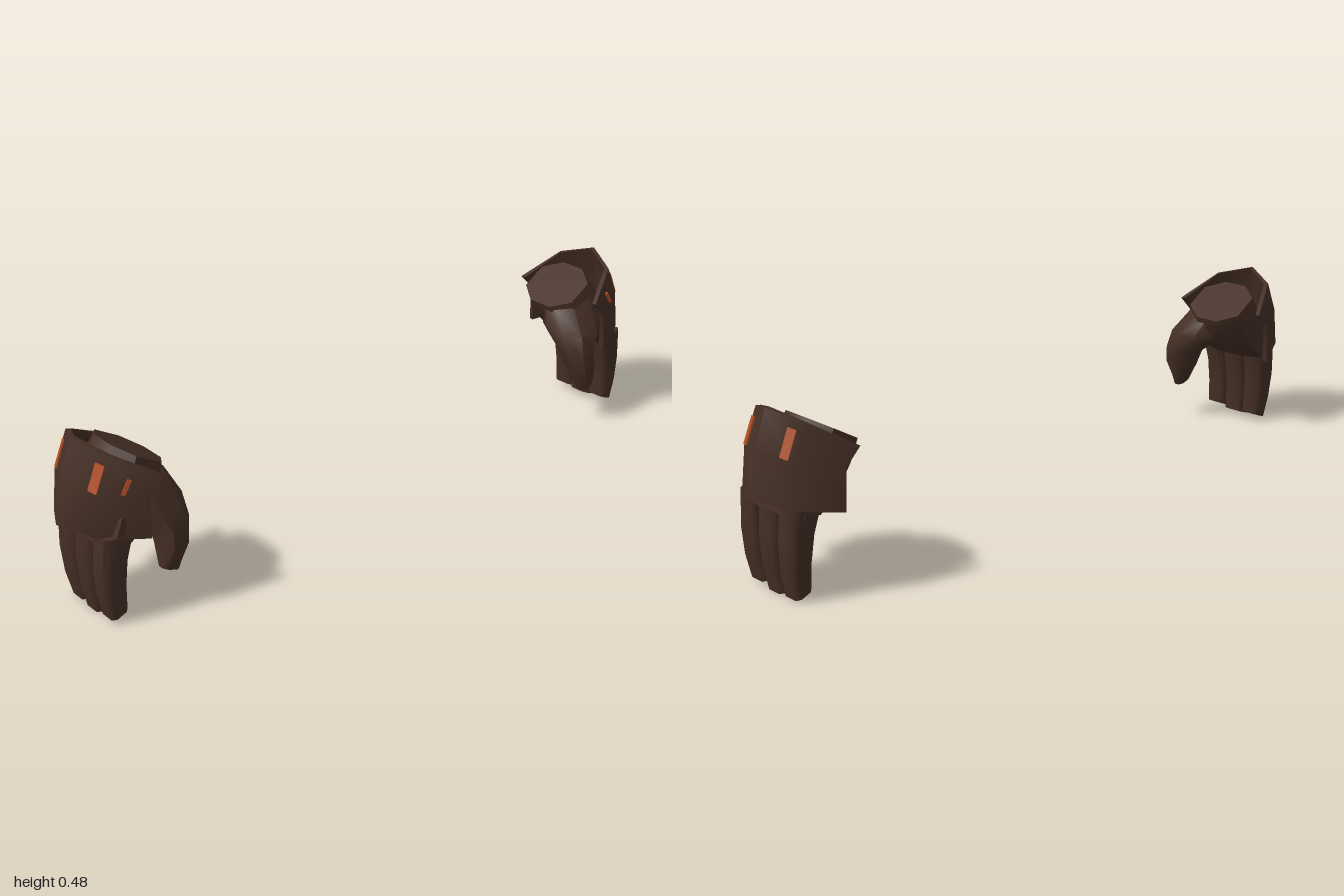
import * as THREE from 'three';
import { toCreasedNormals } from 'three/addons/utils/BufferGeometryUtils.js';

const V = (x, y, z) => new THREE.Vector3(x, y, z);

// Closed skin through equal-length rings; end caps pair point i with n-1-i.
function loft(rings, side, crease = 0.9) {
  const n = rings[0].length, last = rings.length - 1, tris = [];
  const quad = (a, b, c, d) => tris.push([a, b, c], [a, c, d]);
  for (let r = 0; r < last; r++) {
    for (let i = 0; i < n; i++) {
      const j = (i + 1) % n;
      quad(rings[r][i], rings[r][j], rings[r + 1][j], rings[r + 1][i]);
    }
  }
  for (let i = 0; i < n / 2 - 1; i++) {
    const a = rings[0], b = rings[last];
    quad(a[n - 1 - i], a[n - 2 - i], a[i + 1], a[i]);
    quad(b[i], b[i + 1], b[n - 2 - i], b[n - 1 - i]);
  }
  // Mirror to the wanted side, then make all faces point outwards
  const out = tris.map(t => t.map(p => V(p.x * side, p.y, p.z)));
  const volume = out.reduce((s, [a, b, c]) => s + a.dot(b.clone().cross(c)), 0);
  const points = out.flatMap(([a, b, c]) => (volume < 0 ? [a, c, b] : [a, b, c]));
  const g = new THREE.BufferGeometry().setFromPoints(points);
  return toCreasedNormals(g, crease);
}

// Bevelled section from an inner edge (xi, yi) to an outer edge (xo, yo), spanning z0..z1
function section([xi, yi, xo, yo, z0, z1], a = 0.4, b = 0.25) {
  const zm = (z0 + z1) / 2, h = (z1 - z0) / 2;
  return [[0, a], [b, 1], [1 - b, 1], [1, a], [1, -a], [1 - b, -1], [b, -1], [0, -a]]
    .map(([u, w]) => V(xi + (xo - xi) * u, yi + (yo - yi) * u, zm + h * w));
}

// Outer cuff points, front to back: wrist row, middle row, lower row
const cuffZ = [0.145, 0.09, -0.01, -0.105, -0.16];
const cuffRows = [
  [[0.78, 0.385], [0.895, 0.455], [0.94, 0.483]],
  [[0.825, 0.34], [0.935, 0.365], [0.975, 0.39]],
  [[0.83, 0.228], [0.95, 0.25], [1.0, 0.265]],
].map(row => cuffZ.map((z, i) => {
  const [x, y] = row[i < 3 ? i : 4 - i];
  return V(x, y, z);
}));

// Thin plate lying on one cuff facet, u across and v downwards
function plate(facet, u0, u1, v0, v1, side) {
  const [top, mid] = cuffRows;
  const at = (u, v) => top[facet].clone().lerp(top[facet + 1], u)
    .lerp(mid[facet].clone().lerp(mid[facet + 1], u), v);
  const corners = [at(u0, v0), at(u1, v0), at(u1, v1), at(u0, v1)];
  const normal = corners[1].clone().sub(corners[0])
    .cross(corners[3].clone().sub(corners[0])).normalize();
  if (normal.dot(corners[0].clone().sub(V(0.79, 0.38, -0.01))) < 0) normal.negate();
  const shift = d => corners.map(p => p.clone().addScaledVector(normal, d));
  return loft([shift(-0.004), shift(0.004)], side, 0.5);
}

function createGlove(side, leather, orange) {
  const glove = new THREE.Group();
  glove.name = side > 0 ? 'leftGlove' : 'rightGlove';
  const add = (name, geometry, material = leather) => {
    const mesh = new THREE.Mesh(geometry, material);
    mesh.name = name;
    glove.add(mesh);
  };

  // Wrist and palm
  add('palm', loft([
    [0.71, 0.36, 0.85, 0.445, -0.107, 0.08],
    [0.73, 0.31, 0.90, 0.37, -0.11, 0.1],
    [0.78, 0.26, 0.935, 0.3, -0.115, 0.12],
    [0.845, 0.22, 0.945, 0.225, -0.113, 0.118],
  ].map(r => section(r)), side));

  // Thumb, drooping in front of the palm
  add('thumb', loft([
    [0.72, 0.35, 0.85, 0.4, -0.04, 0.085],
    [0.7, 0.29, 0.835, 0.29, -0.02, 0.14],
    [0.703, 0.235, 0.8, 0.232, 0.05, 0.155],
    [0.715, 0.185, 0.795, 0.185, 0.07, 0.162],
    [0.75, 0.107, 0.8, 0.125, 0.11, 0.147],
  ].map(r => section(r)), side));

  // Three broad fingers: z range at the knuckle, z range at the tip, tip height
  const fingers = [
    [0.05, 0.12, 0.045, 0.108, 0.01],
    [-0.033, 0.046, -0.025, 0.039, 0],
    [-0.114, -0.034, -0.09, -0.028, 0.004],
  ];
  const bend = [
    [0.855, 0.25, 0.942, 0.25], [0.878, 0.165, 0.951, 0.15],
    [0.885, 0.09, 0.947, 0.07], [0.885, 0.018, 0.933, 0],
  ];
  fingers.forEach(([a0, a1, b0, b1, lift], f) => {
    const rings = bend.map(([xi, yi, xo, yo], k) => {
      const t = k / 3;
      return section([xi, yi + lift * t, xo, yo + lift * t,
        a0 + (b0 - a0) * t, a1 + (b1 - a1) * t], 0.65, 0.2);
    });
    add('finger' + (f + 1), loft(rings, side));
  });

  // Flared cuff, open towards the body
  add('cuff', loft(cuffRows.map(row => [
    ...row,
    ...row.map(p => p.clone().lerp(V(0.79, p.y, -0.01), 0.09)).reverse(),
  ]), side));

  // Painted marks
  add('frontMark', plate(1, 0.04, 0.27, 0.27, 1, side), orange);
  add('backMark', plate(2, 0.63, 0.85, 0.22, 0.97, side), orange);
  add('smallMark', plate(0, 0.5, 0.58, 0.45, 0.95, side), orange);
  return glove;
}

export function createModel() {
  const leather = new THREE.MeshStandardMaterial({ color: 0x452f25 });
  leather.name = 'dark brown leather';
  const orange = new THREE.MeshStandardMaterial({ color: 0xb04e22 });
  orange.name = 'burnt orange';
  const model = new THREE.Group();
  model.name = 'gloves';
  for (const side of [1, -1]) model.add(createGlove(side, leather, orange));
  return model;
}
